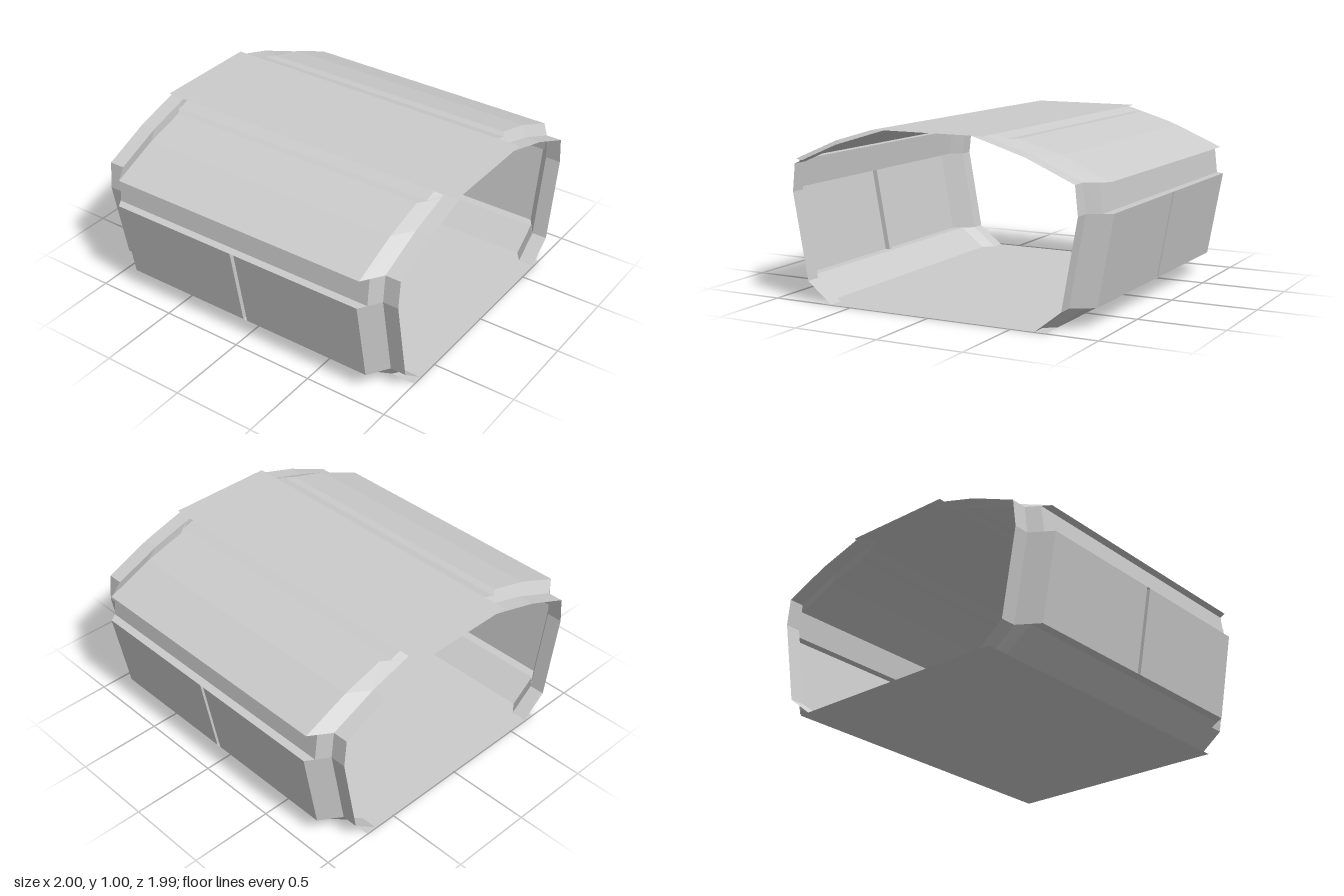
import * as THREE from 'three';

const END = 0.993, NECK = 0.9;

// Side panels from floor to roof: [x, y] of lower and upper edge on the
// wide body (out) and on the narrow end collar (inn); z = half length of the body part.
const PANELS = [
  { name: 'lowerBevel', out: [[0.7, 0], [0.855, 0.12]], inn: [[0.635, 0], [0.787, 0.12]], z: 0.852 },
  { name: 'sideWall', out: [[0.91, 0.12], [1, 0.62]], inn: [[0.787, 0.12], [0.877, 0.62]], z: 0.82, groove: true },
  { name: 'upperBand', out: [[0.95, 0.62], [0.932, 0.78]], inn: [[0.877, 0.62], [0.86, 0.78]], z: 0.852 },
  { name: 'roofEave', out: [[0.98, 0.78], [0.7, 0.9]], inn: [[0.86, 0.78], [0.582, 0.9]], z: 0.82 },
  { name: 'roofSlope', out: [[0.7, 0.9], [0.455, 0.972]], inn: [[0.582, 0.9], [0.345, 0.972]], z: 0.82 },
  { name: 'roofShoulder', out: [[0.405, 0.972], [0.335, 0.995]], inn: [[0.345, 0.972], [0.265, 0.995]], z: 0.852 },
];

const material = new THREE.MeshStandardMaterial({
  color: 0xcccccc, flatShading: true, side: THREE.DoubleSide,
});

// Quad strip between a lower and an upper rail; s = -1 mirrors it across x
function strip(name, lower, upper, s) {
  const pos = [];
  const push = (...pts) => pts.forEach(([x, y, z]) => pos.push(s * x, y, z));
  for (let i = 0; i + 1 < lower.length; i++) {
    const a = lower[i], b = upper[i], c = upper[i + 1], d = lower[i + 1];
    if (s > 0) push(a, b, c, a, c, d);
    else push(a, c, b, a, d, c);
  }
  const g = new THREE.BufferGeometry();
  g.setAttribute('position', new THREE.Float32BufferAttribute(pos, 3));
  g.computeVertexNormals();
  const mesh = new THREE.Mesh(g, material);
  mesh.name = name;
  return mesh;
}

// Rail running the whole length: collar, taper, body, taper, collar
function rail(panel, k) {
  const [ox, oy] = panel.out[k], [ix, iy] = panel.inn[k];
  const pts = [[ix, iy, -END], [ix, iy, -NECK], [ox, oy, -panel.z]];
  if (panel.groove) { // narrow vertical joint halfway along the wall
    const w = 0.013, d = 0.03;
    pts.push([ox, oy, -w], [ox - d, oy, -w], [ox - d, oy, w], [ox, oy, w]);
  }
  pts.push([ox, oy, panel.z], [ix, iy, NECK], [ix, iy, END]);
  return pts;
}

// Ledge joining the top edge of one panel to the bottom edge of the next,
// with small corner pieces where it runs into the taper
function ledge(p, q, s) {
  const edge = (panel, k) => {
    const [x, y] = panel.out[k], [ix, iy] = panel.inn[k];
    return [[ix, iy, -NECK], [x, y, -panel.z], [x, y, panel.z], [ix, iy, NECK]];
  };
  return strip(p.name + 'Ledge', edge(p, 1), edge(q, 0), s);
}

export function createModel() {
  const model = new THREE.Group();
  model.name = 'hullSection';

  // Both flanks
  for (const s of [1, -1]) {
    const flank = new THREE.Group();
    flank.name = s > 0 ? 'leftFlank' : 'rightFlank';
    PANELS.forEach((p, i) => {
      flank.add(strip(p.name, rail(p, 0), rail(p, 1), s));
      const q = PANELS[i + 1];
      if (q && q.out[0][0] !== p.out[1][0]) flank.add(ledge(p, q, s));
    });
    model.add(flank);
  }

  // Flat floor and roof plates spanning the full length
  for (const [name, half, y, s] of [['floor', 0.7, 0, -1], ['roofPlate', 0.335, 0.995, 1]]) {
    const plate = new THREE.Mesh(new THREE.PlaneGeometry(half * 2, END * 2), material);
    plate.name = name;
    plate.rotation.x = -s * Math.PI / 2;
    plate.position.y = y;
    model.add(plate);
  }
  return model;
}
